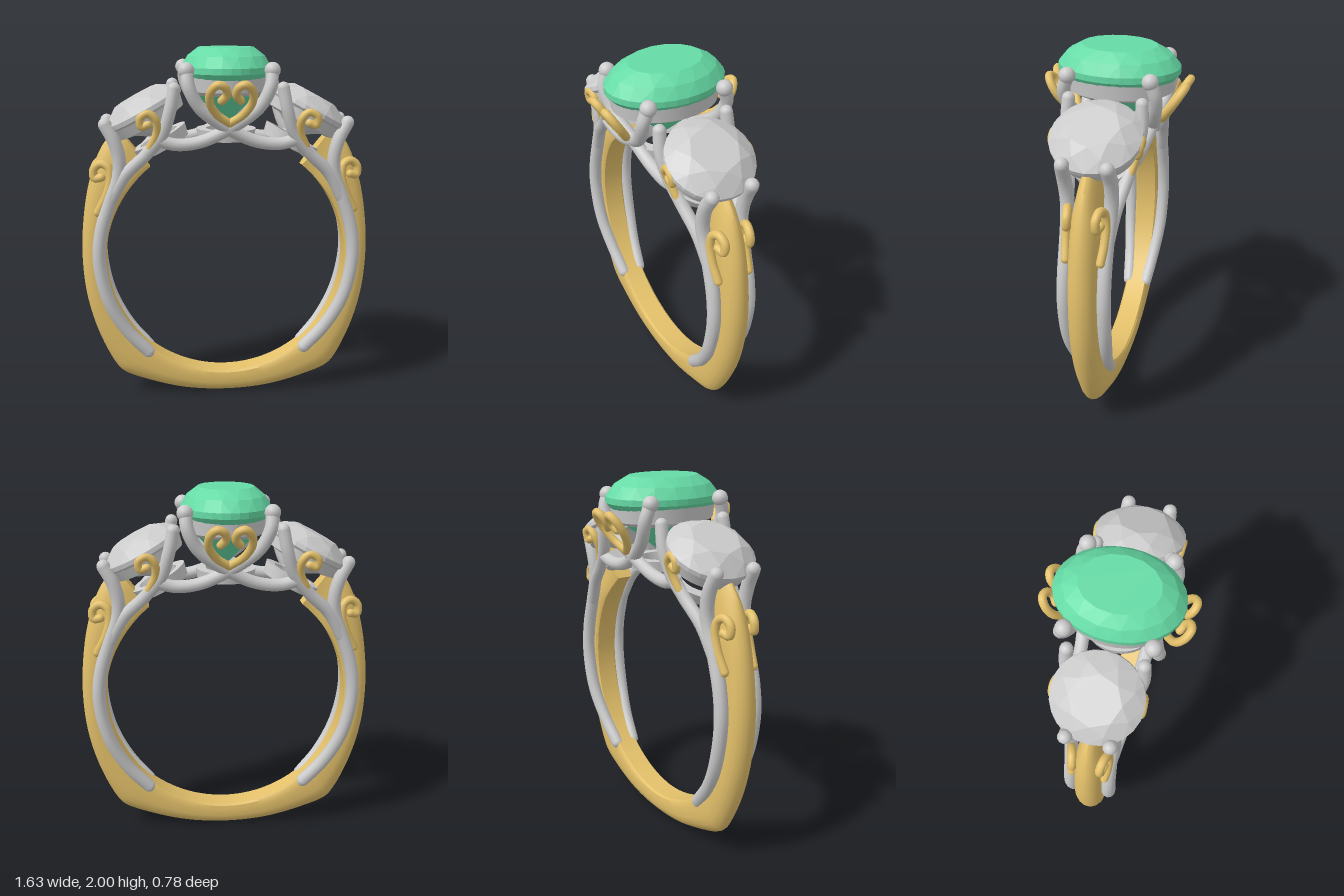
import * as THREE from 'three';
import { toCreasedNormals } from 'three/addons/utils/BufferGeometryUtils.js';
import { ConvexGeometry } from 'three/addons/geometries/ConvexGeometry.js';

const silver = new THREE.MeshStandardMaterial({ color: 0xcccccc });
const gold = new THREE.MeshStandardMaterial({ color: 0xe3c06a });
const green = new THREE.MeshStandardMaterial({ color: 0x66dba6 });
const CENTRE_Y = 0.82, BORE = 0.68;

function add(parent, name, geometry, material) {
  const mesh = new THREE.Mesh(geometry, material);
  mesh.name = name;
  parent.add(mesh);
  return mesh;
}

// Round wire through points, with domed ends
function wire(parent, name, points, radius, material) {
  const group = new THREE.Group();
  group.name = name;
  const pts = points.map(p => new THREE.Vector3(...p));
  const curve = new THREE.CatmullRomCurve3(pts, false, 'centripetal');
  add(group, name + 'Tube', new THREE.TubeGeometry(curve, points.length * 7, radius, 12), material);
  for (const p of [pts[0], pts[pts.length - 1]]) {
    add(group, name + 'End', new THREE.SphereGeometry(radius, 12, 8), material).position.copy(p);
  }
  parent.add(group);
}

// Faceted stone from rings of [radius, height, sides, stagger]
function gem(parent, name, rings, scaleX, scaleZ, material) {
  const pts = [];
  for (const [r, y, n, stagger] of rings) {
    for (let i = 0; i < n; i++) {
      const a = (i + stagger) / n * Math.PI * 2;
      pts.push(new THREE.Vector3(r * Math.cos(a) * scaleX, y, r * Math.sin(a) * scaleZ));
    }
  }
  return add(parent, name, new ConvexGeometry(pts), material);
}

// Hollow setting ring: closed profile of [radius, height]
function collar(parent, name, profile, scaleX, scaleZ) {
  const pts = [...profile, profile[0]].map(p => new THREE.Vector2(...p));
  const geo = new THREE.LatheGeometry(pts, 48);
  geo.scale(scaleX, 1, scaleZ);
  geo.computeVertexNormals();
  return add(parent, name, toCreasedNormals(geo, 0.6), silver);
}

// Shank: D-shaped section swept round the bore, with corners near the base
function shankGeometry() {
  const half = [[0.6, 1.57], [0.69, 1.46], [0.765, 1.26], [0.805, 1.03], [0.815, 0.82], [0.795, 0.6],
    [0.735, 0.38], [0.645, 0.19], [0.6, 0.14], [0.47, 0.085], [0.25, 0.025]];
  const outline = [...half, [0, 0.005], ...half.slice().reverse().map(([x, y]) => [-x, y])];
  const curve = new THREE.CatmullRomCurve3(outline.map(([x, y]) => new THREE.Vector3(x, y, 0)), false, 'centripetal');
  // [fraction from bore to outside, fraction of half width]
  const side = [[0, 0.8], [0.08, 0.95], [0.25, 1], [0.55, 1], [0.75, 0.88], [0.9, 0.6], [0.98, 0.28]];
  const section = [...side, [1, 0], ...side.slice().reverse().map(([t, w]) => [t, -w])];
  const n = section.length, steps = 140, pos = [], index = [];
  for (let i = 0; i <= steps; i++) {
    const p = curve.getPoint(i / steps);
    const dx = p.x, dy = p.y - CENTRE_Y, r = Math.hypot(dx, dy);
    const width = 0.072 - 0.02 * THREE.MathUtils.smoothstep(p.y, 1.3, 1.57);
    for (const [t, w] of section) {
      const k = (BORE + (r - BORE) * t) / r;
      pos.push(dx * k, CENTRE_Y + dy * k, w * width);
    }
  }
  for (let i = 0; i < steps; i++) {
    for (let j = 0; j < n; j++) {
      const a = i * n + j, b = i * n + (j + 1) % n;
      index.push(a, a + n, b, b, a + n, b + n);
    }
  }
  const last = steps * n;
  for (let j = 1; j < n - 1; j++) {
    index.push(0, j, j + 1, last, last + j + 1, last + j);
  }
  const geo = new THREE.BufferGeometry();
  geo.setAttribute('position', new THREE.Float32BufferAttribute(pos, 3));
  geo.setIndex(index);
  return toCreasedNormals(geo, 0.6);
}

export function createModel() {
  const ring = new THREE.Group();
  ring.name = 'ring';
  add(ring, 'shank', shankGeometry(), gold);

  // Centre stone and its oval setting
  gem(ring, 'centreStone', [
    [0.62, 2, 16, 0], [0.86, 1.955, 16, 0.5], [1, 1.897, 32, 0], [1, 1.865, 32, 0],
    [0.68, 1.745, 16, 0.5], [0.1, 1.6, 8, 0],
  ], 0.245, 0.325, green);
  collar(ring, 'centreSeat', [[0.8, 1.75], [0.92, 1.77], [0.96, 1.86], [0.88, 1.86], [0.72, 1.76]], 0.245, 0.315);
  collar(ring, 'centreBaseRing', [[0.1, 1.5], [0.155, 1.5], [0.165, 1.56], [0.11, 1.56]], 1, 1.15);

  // Tilted side stones with seats and base rings
  for (const sx of [1, -1]) {
    const side = new THREE.Group();
    side.name = sx > 0 ? 'leftSideSetting' : 'rightSideSetting';
    side.position.set(sx * 0.455, 1.665, 0);
    side.rotation.z = -sx * 0.5;
    gem(side, 'sideStone', [
      [0.56, 0.085, 8, 0], [0.8, 0.055, 8, 0.5], [1, 0.012, 24, 0], [1, -0.012, 24, 0],
      [0.62, -0.085, 8, 0.5], [0.08, -0.16, 8, 0],
    ], 0.233, 0.235, silver);
    collar(side, 'sideSeat', [[0.165, -0.09], [0.205, -0.08], [0.222, -0.01], [0.2, -0.01], [0.15, -0.08]], 1, 1);
    collar(side, 'sideBaseRing', [[0.1, -0.235], [0.15, -0.235], [0.165, -0.17], [0.115, -0.17]], 1, 1);
    ring.add(side);
  }

  // Wires and scrolls, repeated in all four quarters
  for (const sx of [1, -1]) {
    for (const sz of [1, -1]) {
      const quarter = new THREE.Group();
      quarter.name = (sz > 0 ? 'front' : 'back') + (sx > 0 ? 'Left' : 'Right') + 'Wirework';
      const place = (name, pts, radius, material) =>
        wire(quarter, name, pts.map(([x, y, z]) => [x * sx, y, z * sz]), radius, material);

      place('shankWire', [[0.455, 0.275, 0.055], [0.57, 0.41, 0.075], [0.67, 0.6, 0.098], [0.715, 0.83, 0.105],
        [0.7, 1, 0.105], [0.645, 1.18, 0.105], [0.595, 1.32, 0.11], [0.59, 1.41, 0.115], [0.615, 1.51, 0.118],
        [0.66, 1.595, 0.112]], 0.037, silver);
      place('innerClaw', [[0.645, 1.17, 0.105], [0.56, 1.32, 0.125], [0.44, 1.44, 0.15], [0.355, 1.55, 0.175],
        [0.315, 1.67, 0.195], [0.29, 1.79, 0.19]], 0.034, silver);
      place('crossingClaw', [[0.225, 1.885, 0.215], [0.215, 1.8, 0.24], [0.155, 1.69, 0.225], [0, 1.575, 0.185],
        [-0.15, 1.505, 0.165], [-0.28, 1.49, 0.16], [-0.38, 1.515, 0.165]], 0.035, silver);
      add(quarter, 'clawTip', new THREE.SphereGeometry(0.043, 16, 12), silver).position.set(sx * 0.227, 1.885, sz * 0.215);

      // Half of the heart scroll, leaning outwards as it rises
      const heart = [[0, 1.61], [0.07, 1.66], [0.112, 1.73], [0.105, 1.79], [0.07, 1.82], [0.035, 1.805],
        [0.025, 1.765], [0.05, 1.735]];
      place('heartScroll', heart.map(([x, y]) => [x, y, 0.225 + (y - 1.6) * 0.64]), 0.022, gold);

      place('sideScroll', [[0.425, 1.47, 0.165], [0.385, 1.56, 0.19], [0.39, 1.63, 0.215], [0.43, 1.665, 0.222],
        [0.472, 1.64, 0.222], [0.465, 1.595, 0.215], [0.43, 1.605, 0.215]], 0.022, gold);
      place('shoulderScroll', [[0.715, 1.11, 0.09], [0.665, 1.21, 0.1], [0.64, 1.3, 0.1], [0.65, 1.36, 0.092],
        [0.69, 1.38, 0.08], [0.73, 1.35, 0.072], [0.728, 1.3, 0.075], [0.69, 1.305, 0.085]], 0.023, gold);
      ring.add(quarter);
    }
  }
  return ring;
}
